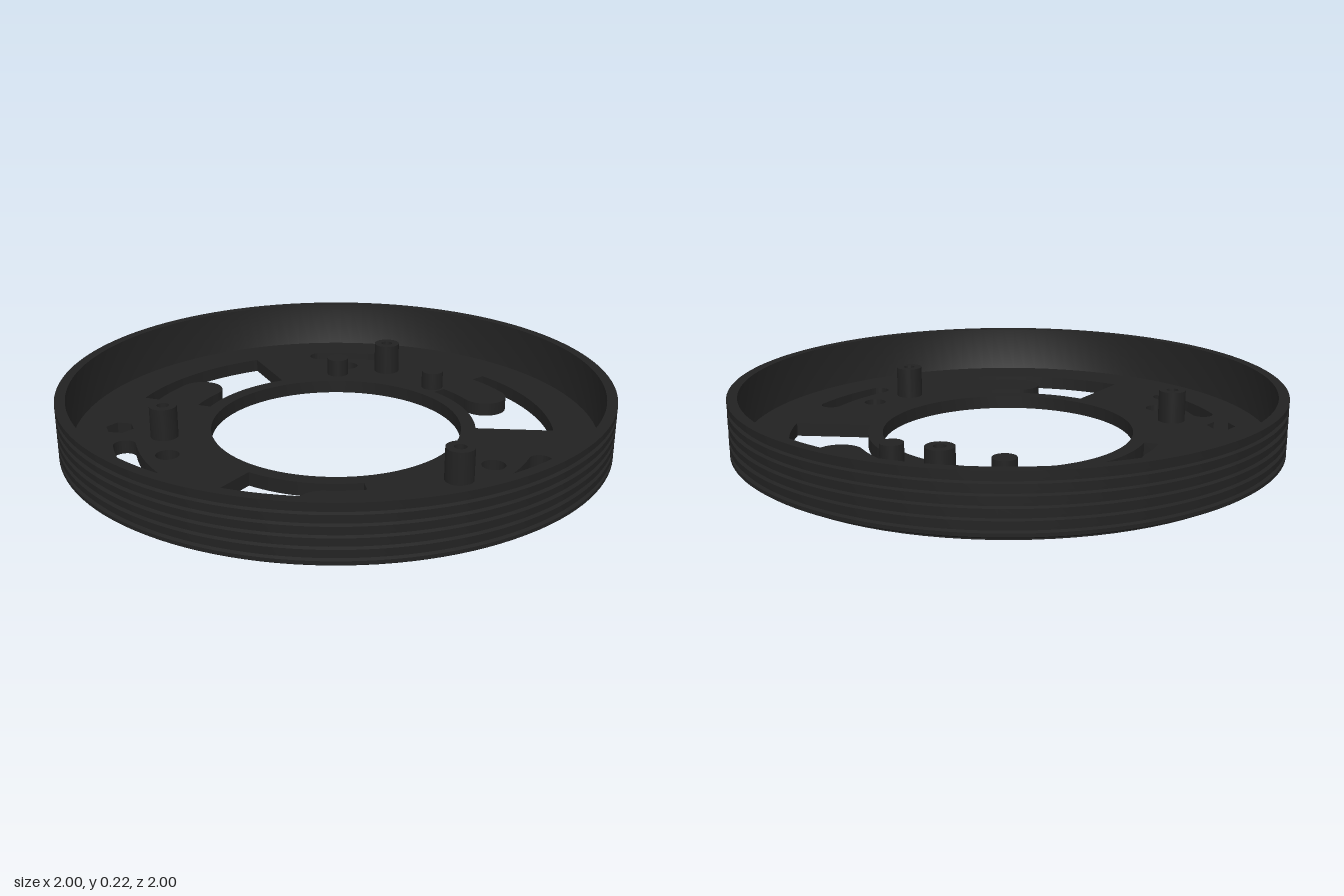
import * as THREE from 'three';
import { toCreasedNormals } from 'three/addons/utils/BufferGeometryUtils.js';

const FLOOR = 0.05, TOP = 0.225;
const rad = THREE.MathUtils.degToRad;
const polar = (r, deg) => [r * Math.cos(rad(deg)), r * Math.sin(rad(deg))];

const circle = (x, y, r) => new THREE.Path().absarc(x, y, r, 0, Math.PI * 2, false);

// Extrude a plan shape (x, -z) upwards from height y
function slab(shape, y, height, segments) {
  const g = new THREE.ExtrudeGeometry(shape, { depth: height, bevelEnabled: false, curveSegments: segments });
  g.rotateX(-Math.PI / 2).translate(0, y, 0);
  return toCreasedNormals(g, rad(35));
}

// Arc-shaped window with a round-ended spring finger left standing in it
function fingerWindow(turn) {
  const a = rad(36 + turn), tip = rad(67 + turn), b = rad(81 + turn);
  const p = new THREE.Path();
  p.absarc(0, 0, 0.513, a, b, false);
  p.absarc(0, 0, 0.565, b, tip, true);
  p.absarc(...polar(0.65, 67 + turn), 0.085, tip + Math.PI, tip + Math.PI * 2, false);
  p.absarc(0, 0, 0.735, tip, b, false);
  p.absarc(0, 0, 0.795, b, a, true);
  p.closePath();
  return p;
}

// Curved slot with rounded ends
function curvedSlot(turn) {
  const r = 0.773, w = 0.04, a = rad(115.3 + turn), b = rad(136 + turn);
  const p = new THREE.Path();
  p.absarc(0, 0, r + w, a, b, false);
  p.absarc(...polar(r, 136 + turn), w, b, b + Math.PI, false);
  p.absarc(0, 0, r - w, b, a, true);
  p.absarc(...polar(r, 115.3 + turn), w, a + Math.PI, a + Math.PI * 2, false);
  p.closePath();
  return p;
}

export function createModel() {
  const model = new THREE.Group();
  const material = new THREE.MeshStandardMaterial({ color: 0x222222 });
  const add = (name, geometry) => {
    const mesh = new THREE.Mesh(geometry, material);
    mesh.name = name;
    model.add(mesh);
  };
  const turns = [0, 120, 240];

  // Floor plate with all its openings
  const plate = new THREE.Shape().absarc(0, 0, 0.955, 0, Math.PI * 2, false);
  plate.holes.push(circle(0, 0, 0.46));
  for (const t of turns) {
    plate.holes.push(
      fingerWindow(t),
      curvedSlot(t),
      circle(...polar(0.648, 126.4 + t), 0.042),
      circle(...polar(0.628, 111 + t), 0.022)
    );
  }
  const hex = Array.from({ length: 6 }, (_, i) => {
    const [x, y] = polar(0.053, 30 + i * 60);
    return new THREE.Vector2(x - 0.577, y - 0.545);
  });
  plate.holes.push(new THREE.Path(hex));
  add('floorPlate', slab(plate, 0, FLOOR, 48));

  // Outer wall with grooves running round it
  const profile = [[0.95, 0.02], [0.992, 0.02], [1, 0.026]];
  for (let i = 0; i < 5; i++) {
    const y = 0.045 + i * 0.037;
    profile.push([1, y - 0.007], [0.988, y - 0.003], [0.988, y + 0.006], [1, y + 0.01]);
  }
  profile.push([1, TOP], [0.963, TOP], [0.958, FLOOR - 0.005], [0.95, 0.02]);
  const wall = new THREE.LatheGeometry(profile.map(([x, y]) => new THREE.Vector2(x, y)), 128);
  add('groovedWall', toCreasedNormals(wall, rad(25)));

  // Hollow screw posts
  for (const t of turns) {
    const [x, y] = polar(0.628, 111 + t);
    const post = new THREE.Shape().absarc(x, y, 0.05, 0, Math.PI * 2, false);
    post.holes.push(circle(x, y, 0.022));
    add('screwPost', slab(post, FLOOR - 0.002, 0.12, 16));
  }

  // Short solid locating pegs
  for (const [x, z] of [[0.037, -0.55], [-0.353, -0.422]]) {
    const peg = new THREE.CylinderGeometry(0.042, 0.042, 0.07, 32);
    add('locatingPeg', peg.translate(x, FLOOR + 0.033, z));
  }
  return model;
}
